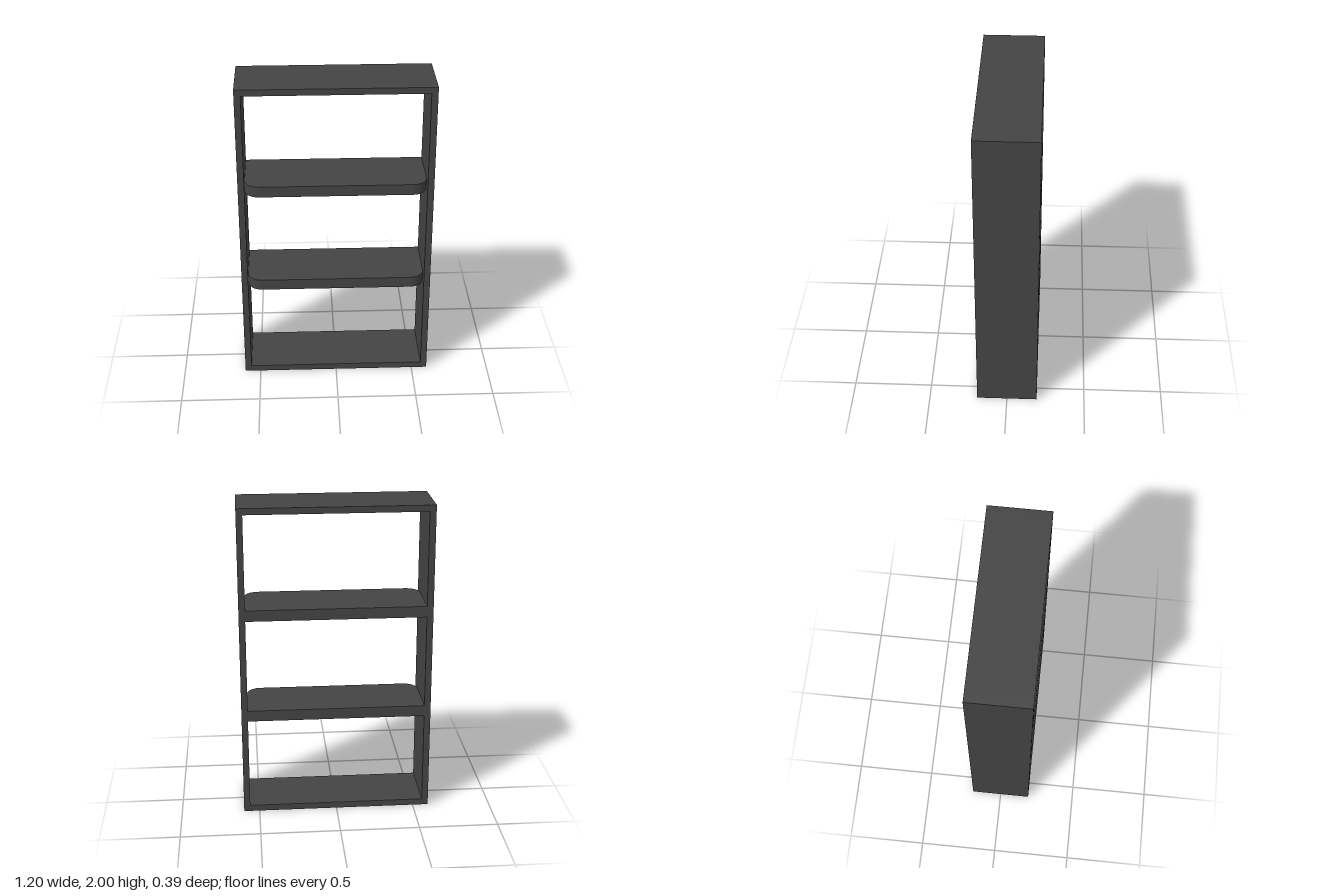
import * as THREE from 'three';

const W = 1.2, H = 2, D = 0.386, T = 0.04; // overall size and board thickness
const SHELF_T = 0.07, CORNER = 0.09;
const material = new THREE.MeshStandardMaterial({ color: 0x444444 });

function addBoard(group, name, w, h, x, y) {
  const mesh = new THREE.Mesh(new THREE.BoxGeometry(w, h, D), material);
  mesh.name = name;
  mesh.position.set(x, y, 0);
  group.add(mesh);
}

// Shelf plan: square at the back, rounded at the two front corners
function shelfGeometry() {
  const x = W / 2 - T, z = D / 2, r = CORNER;
  const plan = new THREE.Shape();
  plan.moveTo(-x, -z);
  plan.lineTo(x, -z);
  plan.lineTo(x, z - r);
  plan.absarc(x - r, z - r, r, 0, Math.PI / 2, false);
  plan.lineTo(-x + r, z);
  plan.absarc(-x + r, z - r, r, Math.PI / 2, Math.PI, false);
  plan.closePath();
  const geometry = new THREE.ExtrudeGeometry(plan, { depth: SHELF_T, bevelEnabled: false, curveSegments: 12 });
  geometry.rotateX(Math.PI / 2); // plan y becomes z, thickness hangs down
  return geometry.translate(0, SHELF_T / 2, 0);
}

export function createModel() {
  const group = new THREE.Group();
  group.name = 'shelfUnit';

  // Outer frame
  addBoard(group, 'leftSide', T, H, W / 2 - T / 2, H / 2);
  addBoard(group, 'rightSide', T, H, -W / 2 + T / 2, H / 2);
  addBoard(group, 'topBoard', W - 2 * T, T, 0, H - T / 2);
  addBoard(group, 'bottomBoard', W - 2 * T, T, 0, T / 2);

  // Two thick shelves
  const geometry = shelfGeometry();
  [['lowerShelf', 0.667], ['upperShelf', 1.33]].forEach(([name, y]) => {
    const shelf = new THREE.Mesh(geometry, material);
    shelf.name = name;
    shelf.position.y = y;
    group.add(shelf);
  });
  return group;
}
